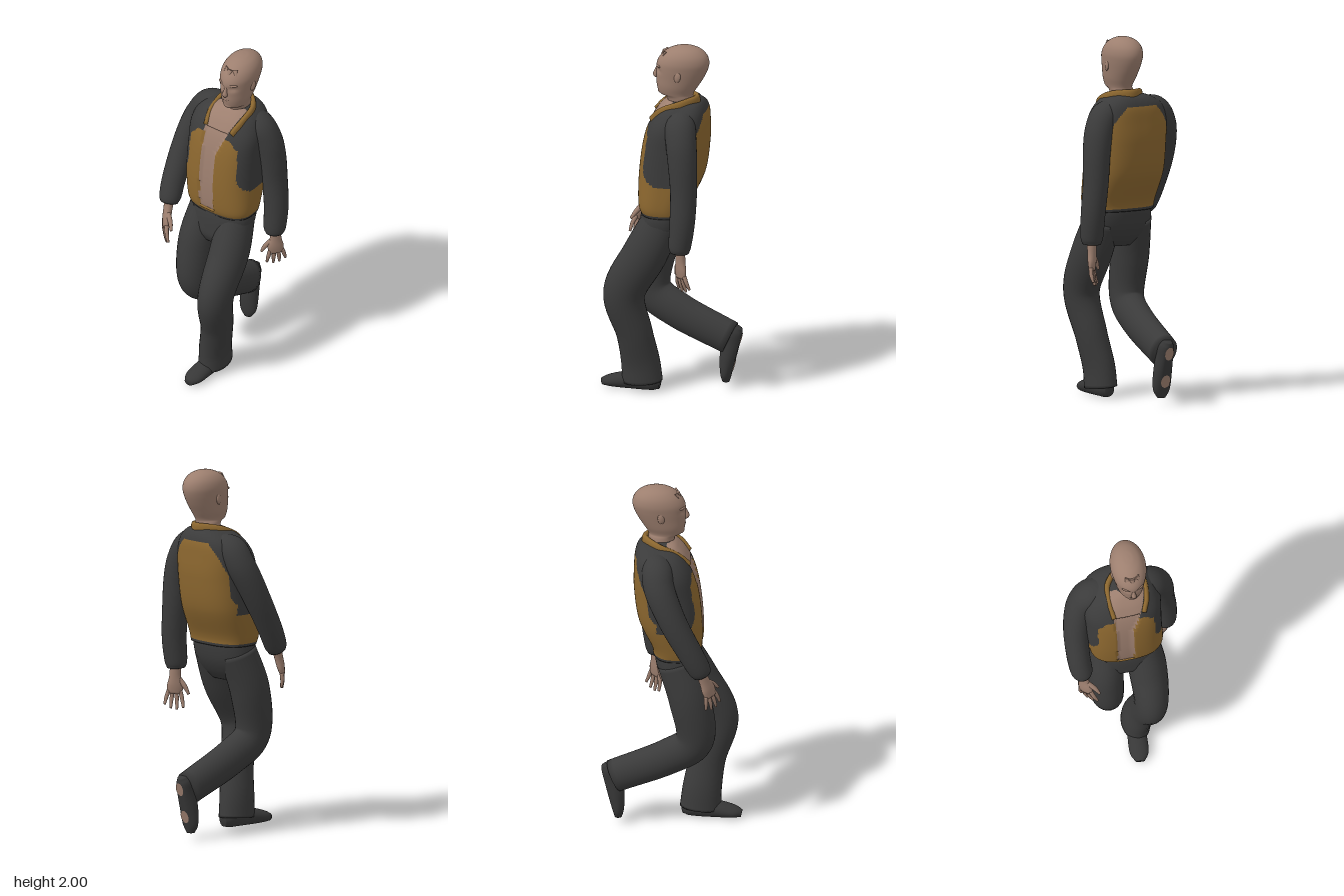
import * as THREE from 'three';

const paint = (name, color) => {
  const m = new THREE.MeshStandardMaterial({ color });
  m.name = name;
  return m;
};

const V = (x, y, z) => new THREE.Vector3(x, y, z);

// Loft oval rings through stations [x, y, z, sideRadius, otherRadius].
// level keeps rings horizontal (stations must rise), power squares the ovals,
// pick(point) chooses a material index per face.
function loft(name, stations, mats, opt = {}) {
  const { rows = 28, cols = 28, ref = V(1, 0, 0), level = false, power = 2, tweak, pick = () => 0 } = opt;
  const path = new THREE.CatmullRomCurve3(stations.map(s => V(s[0], s[1], s[2])), false, 'catmullrom', 0.5);
  const radii = new THREE.CatmullRomCurve3(stations.map(s => V(s[3], s[4], 0)), false, 'catmullrom', 0.5);
  const pts = [];
  const oval = v => Math.sign(v) * Math.abs(v) ** (2 / power);
  for (let i = 0; i <= rows; i++) {
    const c = path.getPoint(i / rows), r = radii.getPoint(i / rows);
    const t = level ? V(0, 1, 0) : path.getTangent(i / rows);
    const side = ref.clone().addScaledVector(t, -ref.dot(t)).normalize();
    const other = t.clone().cross(side);
    for (let j = 0; j < cols; j++) {
      const a = j / cols * Math.PI * 2;
      const p = c.clone().addScaledVector(side, oval(Math.cos(a)) * r.x)
        .addScaledVector(other, oval(Math.sin(a)) * r.y);
      if (tweak) tweak(p);
      pts.push(p);
    }
  }
  const first = pts.push(path.getPoint(0)) - 1;
  const last = pts.push(path.getPoint(1)) - 1;
  const list = Array.isArray(mats) ? mats : [mats];
  const faces = list.map(() => []);
  const add = (...quad) => {
    const mid = V(0, 0, 0);
    quad.forEach(k => mid.addScaledVector(pts[k], 1 / quad.length));
    const out = faces[pick(mid)];
    out.push(quad[0], quad[1], quad[quad.length - 1]);
    if (quad.length === 4) out.push(quad[1], quad[2], quad[3]);
  };
  for (let j = 0; j < cols; j++) {
    const k = (j + 1) % cols, top = rows * cols;
    for (let i = 0; i < rows; i++) add(i * cols + j, i * cols + k, (i + 1) * cols + k, (i + 1) * cols + j);
    add(first, k, j);
    add(last, top + j, top + k);
  }
  const g = new THREE.BufferGeometry().setFromPoints(pts);
  g.setIndex(faces.flat());
  let start = 0;
  faces.forEach((f, i) => { g.addGroup(start, f.length, i); start += f.length; });
  g.computeVertexNormals();
  const mesh = new THREE.Mesh(g, list.length > 1 ? list : list[0]);
  mesh.name = name;
  return mesh;
}

function blob(name, mat, pos, scale, rot = [0, 0, 0]) {
  const m = new THREE.Mesh(new THREE.SphereGeometry(1, 18, 12), mat);
  m.name = name;
  m.position.set(...pos);
  m.scale.set(...scale);
  m.rotation.set(...rot);
  return m;
}

// Hand hanging down -y from the wrist, thumb toward +z
function hand(name, mat, inward) {
  const g = new THREE.Group();
  g.name = name;
  g.add(loft('palm', [[0, 0.04, 0, 0.027, 0.03], [0, -0.02, 0, 0.024, 0.032],
    [0, -0.07, 0.002, 0.022, 0.044], [0, -0.115, 0, 0.015, 0.04]], mat, { rows: 12, cols: 16 }));
  for (let i = 0; i < 4; i++) {
    const z = 0.031 - i * 0.021, len = [0.09, 0.1, 0.095, 0.075][i], fan = (1.5 - i) * 0.013;
    g.add(loft('finger', [[0, -0.1, z, 0.012, 0.012], [inward * 0.005, -0.1 - len * 0.5, z + fan * 0.6, 0.011, 0.011],
      [inward * 0.018, -0.1 - len, z + fan, 0.007, 0.007]], mat, { rows: 8, cols: 10 }));
  }
  g.add(loft('thumb', [[0, -0.03, 0.02, 0.014, 0.014], [inward * 0.012, -0.075, 0.056, 0.013, 0.013],
    [inward * 0.018, -0.115, 0.078, 0.007, 0.007]], mat, { rows: 8, cols: 10 }));
  return g;
}

// Shoe with toe along +z and a flat sole at y = 0; patches are [z, halfWidth, halfLength]
function shoe(name, mat, patchMat, patches) {
  const g = new THREE.Group();
  g.name = name;
  g.add(loft('shoeUpper', [[0, 0.04, -0.1, 0.026, 0.035], [0, 0.045, -0.065, 0.043, 0.05], [0, 0.045, 0, 0.045, 0.055],
    [0, 0.04, 0.1, 0.053, 0.045], [0, 0.03, 0.18, 0.05, 0.032], [0, 0.02, 0.225, 0.024, 0.02]], mat,
  { tweak: p => { p.y = Math.max(p.y, 0); } }));
  for (const [z, rx, rz] of patches) {
    const patch = new THREE.Mesh(new THREE.CircleGeometry(1, 20), patchMat);
    patch.name = 'solePatch';
    patch.rotation.x = Math.PI / 2;
    patch.scale.set(rx, rz, 1);
    patch.position.set(0, -0.002, z);
    g.add(patch);
  }
  return g;
}

export function createModel() {
  const skin = paint('skin', 0x9d7f6f);
  const dark = paint('dark cloth', 0x3b3b3b);
  const tan = paint('tan cloth', 0x8c672f);
  const leather = paint('shoe leather', 0x373737);

  const man = new THREE.Group();
  man.name = 'walkingMan';

  // Jacket body: tan panels, dark yoke and sides, open over the bare chest
  const isChest = p => {
    const rise = Math.max(0, p.y - 1.45);
    return p.y > 1.075 && p.z > -0.05 && Math.abs(p.x + 0.012 - rise * 0.17) < 0.046 + rise * 0.22;
  };
  man.add(loft('jacketBody', [[0.01, 1.04, 0.003, 0.194, 0.128], [0.01, 1.1, 0.005, 0.205, 0.142], [0, 1.25, -0.028, 0.214, 0.175],
    [0, 1.42, -0.05, 0.215, 0.178], [0, 1.54, -0.066, 0.214, 0.163], [0.005, 1.62, -0.085, 0.185, 0.138],
    [0.02, 1.668, -0.095, 0.13, 0.105], [0.04, 1.69, -0.09, 0.07, 0.07]], [dark, tan, skin], {
    rows: 110, cols: 144, level: true, power: 2.7,
    tweak: p => { if (p.y < 1.58 && isChest(p)) p.z -= 0.01; },
    pick: p => {
      if (isChest(p)) return 2;
      if (p.y < 1.055) return 0;
      if (p.y < 1.22) return 1;
      const x = Math.abs(p.x), curve = Math.max(0, 1.34 - p.y) ** 2 * 4;
      if (p.z > 0) return p.y < 1.55 - Math.max(0, x - 0.1) && x < 0.158 + curve ? 1 : 0;
      return p.z < -0.1 && p.y < 1.625 && x < 0.198 + curve - Math.max(0, p.y - 1.42) ** 2 * 2.5 ? 1 : 0;
    },
  }));

  // Stand-up collar, a horseshoe open at the front
  man.add(loft('collar', [[-0.065, 1.575, 0.07, 0.025, 0.013], [-0.075, 1.62, 0.0, 0.042, 0.016], [-0.06, 1.66, -0.1, 0.045, 0.017],
    [0.035, 1.675, -0.172, 0.042, 0.017], [0.125, 1.66, -0.1, 0.045, 0.017], [0.13, 1.62, 0.0, 0.042, 0.016],
    [0.105, 1.575, 0.066, 0.025, 0.013]], tan, { rows: 40, cols: 16, ref: V(0, 1, 0), power: 2.6 }));

  // Head and neck, with shallow eye sockets
  man.add(loft('head', [[0.035, 1.6, -0.085, 0.065, 0.07], [0.045, 1.7, -0.08, 0.063, 0.072], [0.05, 1.728, -0.06, 0.064, 0.094],
    [0.05, 1.77, -0.066, 0.077, 0.113], [0.05, 1.82, -0.08, 0.086, 0.13], [0.05, 1.87, -0.091, 0.094, 0.142],
    [0.05, 1.91, -0.098, 0.097, 0.142], [0.05, 1.948, -0.104, 0.088, 0.124], [0.05, 1.978, -0.107, 0.066, 0.09],
    [0.05, 1.995, -0.108, 0.035, 0.047], [0.05, 2.0, -0.108, 0.008, 0.01]], skin, {
    rows: 60, cols: 48, level: true,
    tweak: p => {
      const dx = Math.abs(p.x - 0.05) - 0.036, dy = p.y - 1.862;
      if (p.z > -0.04) p.z -= 0.012 * Math.exp(-(dx * dx) / 0.0004 - (dy * dy) / 0.0002);
    },
  }));
  man.add(loft('nose', [[0.05, 1.875, 0.04, 0.008, 0.008], [0.05, 1.848, 0.05, 0.01, 0.012],
    [0.05, 1.825, 0.055, 0.015, 0.015], [0.05, 1.814, 0.044, 0.011, 0.009]], skin, { rows: 12, cols: 14 }));
  man.add(blob('lips', skin, [0.05, 1.782, 0.04], [0.024, 0.008, 0.01]));
  man.add(blob('chin', skin, [0.05, 1.742, 0.025], [0.03, 0.022, 0.018]));
  for (const s of [-1, 1]) {
    man.add(blob('brow', skin, [0.05 + s * 0.032, 1.886, 0.032], [0.03, 0.009, 0.012], [0, s * 0.35, 0]));
    man.add(blob('ear', skin, [0.05 + s * 0.088, 1.845, -0.08], [0.01, 0.031, 0.02], [-0.15, s * -0.3, 0]));
  }
  for (const [x, tilt] of [[0.02, 0.4], [0.05, 0], [0.085, -0.4]]) {
    const lock = new THREE.Mesh(new THREE.ConeGeometry(0.018, 0.05, 8), skin);
    lock.name = 'hairLock';
    lock.position.set(x, 1.945, 0.02 - Math.abs(x - 0.05) * 0.35);
    lock.rotation.set(2.6, 0, tilt);
    lock.scale.z = 0.5;
    man.add(lock);
  }

  // Sleeves and hands
  man.add(loft('leftSleeve', [[0.09, 1.615, -0.09, 0.05, 0.07], [0.165, 1.575, -0.1, 0.075, 0.085], [0.212, 1.49, -0.115, 0.077, 0.084],
    [0.235, 1.38, -0.127, 0.073, 0.08], [0.246, 1.22, -0.135, 0.069, 0.073], [0.26, 1.05, -0.13, 0.066, 0.069],
    [0.26, 0.92, -0.117, 0.062, 0.062], [0.26, 0.88, -0.115, 0.05, 0.052]], dark, { rows: 40 }));
  man.add(loft('rightSleeve', [[-0.08, 1.62, -0.09, 0.05, 0.07], [-0.16, 1.585, -0.095, 0.075, 0.085], [-0.21, 1.51, -0.085, 0.077, 0.084],
    [-0.242, 1.42, -0.05, 0.073, 0.08], [-0.262, 1.29, 0.01, 0.068, 0.074], [-0.265, 1.14, 0.088, 0.064, 0.068],
    [-0.258, 1.045, 0.135, 0.06, 0.062], [-0.255, 1.01, 0.15, 0.047, 0.05]], dark, { rows: 40 }));
  const leftHand = hand('leftHand', skin, -1);
  leftHand.position.set(0.262, 0.85, -0.12);
  leftHand.rotation.set(0.05, -Math.PI / 4, 0.02);
  const rightHand = hand('rightHand', skin, 1);
  rightHand.position.set(-0.255, 0.985, 0.158);
  rightHand.rotation.set(-0.42, Math.PI / 4, 0.1);
  man.add(leftHand, rightHand);

  // Trousers
  man.add(loft('hips', [[0.005, 0.84, 0.045, 0.1, 0.08], [0.003, 0.89, 0.035, 0.165, 0.11], [0.005, 0.95, 0.02, 0.186, 0.124],
    [0.01, 1.02, 0.01, 0.19, 0.127], [0.01, 1.08, 0.003, 0.18, 0.12]], dark, { level: true, power: 2.4, cols: 40 }));
  man.add(loft('leftTrouserLeg', [[0.1, 1.0, 0.01, 0.095, 0.11], [0.115, 0.8, 0.105, 0.105, 0.122], [0.11, 0.575, 0.218, 0.092, 0.115],
    [0.08, 0.34, 0.168, 0.083, 0.1], [0.05, 0.17, 0.14, 0.08, 0.106], [0.042, 0.05, 0.13, 0.08, 0.112]], dark, { rows: 40 }));
  man.add(loft('rightTrouserLeg', [[-0.09, 1.0, 0.01, 0.095, 0.11], [-0.115, 0.78, 0.08, 0.1, 0.115], [-0.11, 0.54, 0.105, 0.09, 0.105],
    [-0.09, 0.42, -0.04, 0.085, 0.1], [-0.068, 0.285, -0.335, 0.074, 0.094]], dark, { rows: 40 }));

  // Shoes: left planted, right lifted with its sole facing back
  const leftShoe = shoe('leftShoe', leather, skin, [[0.15, 0.028, 0.03]]);
  leftShoe.position.set(0.04, 0.003, 0.13);
  leftShoe.rotation.y = -0.08;
  const rightShoe = shoe('rightShoe', leather, skin, [[-0.035, 0.028, 0.037], [0.125, 0.03, 0.036]]);
  rightShoe.position.set(-0.062, 0.25, -0.385);
  rightShoe.rotation.x = 1.33;
  man.add(leftShoe, rightShoe);

  // He walks diagonally, toward the front right
  man.rotation.y = -Math.PI / 4;
  const model = new THREE.Group();
  model.name = 'model';
  model.add(man);
  return model;
}
